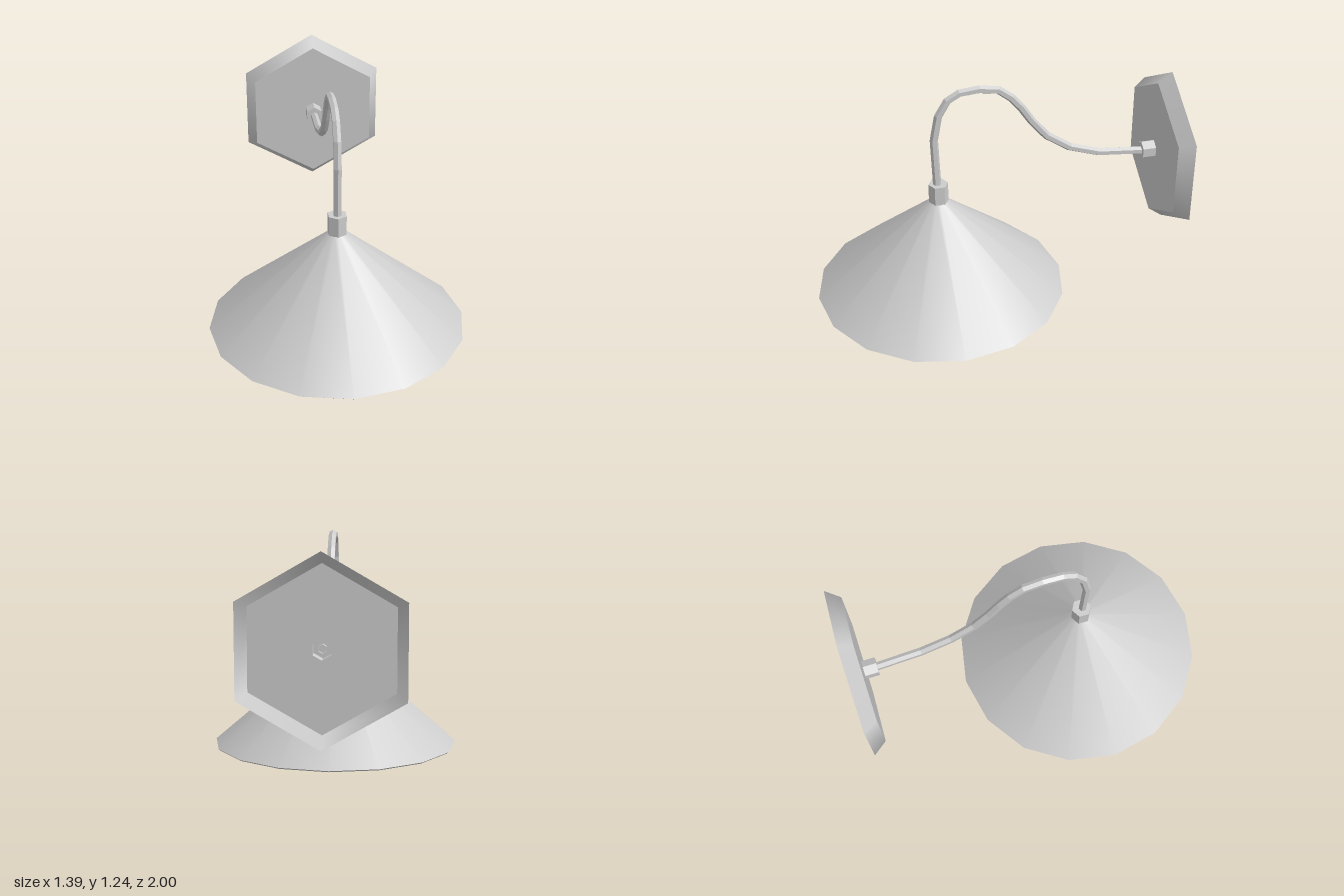
import * as THREE from 'three';

const smooth = new THREE.MeshStandardMaterial({ color: 0xcccccc, side: THREE.DoubleSide });
const flat = new THREE.MeshStandardMaterial({ color: 0xcccccc, side: THREE.DoubleSide, flatShading: true });
const SHADE_Z = 0.3;

function add(parent, name, geometry, material, x = 0, y = 0, z = 0) {
  const mesh = new THREE.Mesh(geometry, material);
  mesh.name = name;
  mesh.position.set(x, y, z);
  parent.add(mesh);
  return mesh;
}

// Tube path in the x = 0 plane, one ring per point
function armGeometry() {
  const zy = [
    [0.305, 0.64], [0.316, 0.94], [0.29, 1.08], [0.24, 1.165], [0.175, 1.203],
    [0.07, 1.213], [-0.03, 1.198], [-0.1, 1.145], [-0.155, 1.08], [-0.215, 0.99],
    [-0.3, 0.89], [-0.43, 0.803], [-0.6, 0.748], [-0.86, 0.725],
  ];
  const path = new THREE.CatmullRomCurve3(zy.map(([z, y]) => new THREE.Vector3(0, y, z)));
  path.getPointAt = (t, target) => path.getPoint(t, target);
  path.getTangentAt = (t, target) => path.getTangent(t, target);
  // Quarter-turn the frames so a ridge of the hexagonal tube runs along the top
  const frames = path.computeFrenetFrames.bind(path);
  path.computeFrenetFrames = (n, closed) => {
    const f = frames(n, closed);
    return { tangents: f.tangents, normals: f.binormals, binormals: f.normals.map((v) => v.clone().negate()) };
  };
  return new THREE.TubeGeometry(path, zy.length - 1, 0.0225, 6);
}

export function createModel() {
  const lamp = new THREE.Group();
  lamp.name = 'wallLamp';

  // Hollow hexagonal wall plate, open at the back
  const plate = new THREE.Group();
  plate.name = 'wallPlate';
  plate.position.set(0, 0.73, -0.995);
  plate.rotation.x = 0.011;
  lamp.add(plate);
  const rim = new THREE.CylinderGeometry(0.404, 0.462, 0.077, 6, 1, true).rotateX(Math.PI / 2);
  add(plate, 'plateRim', rim, smooth, 0, 0, 0.0385);
  add(plate, 'plateFace', new THREE.RingGeometry(0.05, 0.404, 6, 1, Math.PI / 2), flat, 0, 0, 0.077);

  // Collar joining the arm to the plate, open towards the wall
  const collar = new THREE.CylinderGeometry(0.05, 0.05, 0.073, 6, 1, true).rotateX(Math.PI / 2);
  add(plate, 'wallCollar', collar, flat, 0, 0, 0.1135);
  add(plate, 'wallCollarCap', new THREE.CircleGeometry(0.05, 6, Math.PI / 2), flat, 0, 0, 0.15);

  // Curved arm and the collar above the shade
  add(lamp, 'arm', armGeometry(), flat);
  add(lamp, 'shadeCollar', new THREE.CylinderGeometry(0.054, 0.054, 0.11, 6), flat, 0, 0.613, SHADE_Z);

  // Conical shade: outer skin, narrow lip and inner skin
  const shade = new THREE.Group();
  shade.name = 'shade';
  shade.position.z = SHADE_Z;
  lamp.add(shade);
  const skins = [
    ['shadeOuter', [0.05, 0.56], [0.695, 0.008]],
    ['shadeLip', [0.695, 0.008], [0.685, 0]],
    ['shadeInner', [0.685, 0], [0.04, 0.552]],
  ];
  for (const [name, a, b] of skins) {
    const profile = [b, a].map(([r, y]) => new THREE.Vector2(r, y));
    add(shade, name, new THREE.LatheGeometry(profile, 16), smooth);
  }

  // Bulb with a rounded end, narrowing into the socket
  const bulb = [];
  for (let i = 0; i <= 6; i++) {
    const a = (i / 6) * Math.PI / 2;
    bulb.push(new THREE.Vector2(0.08 * Math.sin(a), 0.24 - 0.08 * Math.cos(a)));
  }
  bulb.push(new THREE.Vector2(0.08, 0.39), new THREE.Vector2(0.06, 0.46), new THREE.Vector2(0.04, 0.55));
  add(lamp, 'bulb', new THREE.LatheGeometry(bulb, 16), smooth, 0, 0, SHADE_Z);

  return lamp;
}
